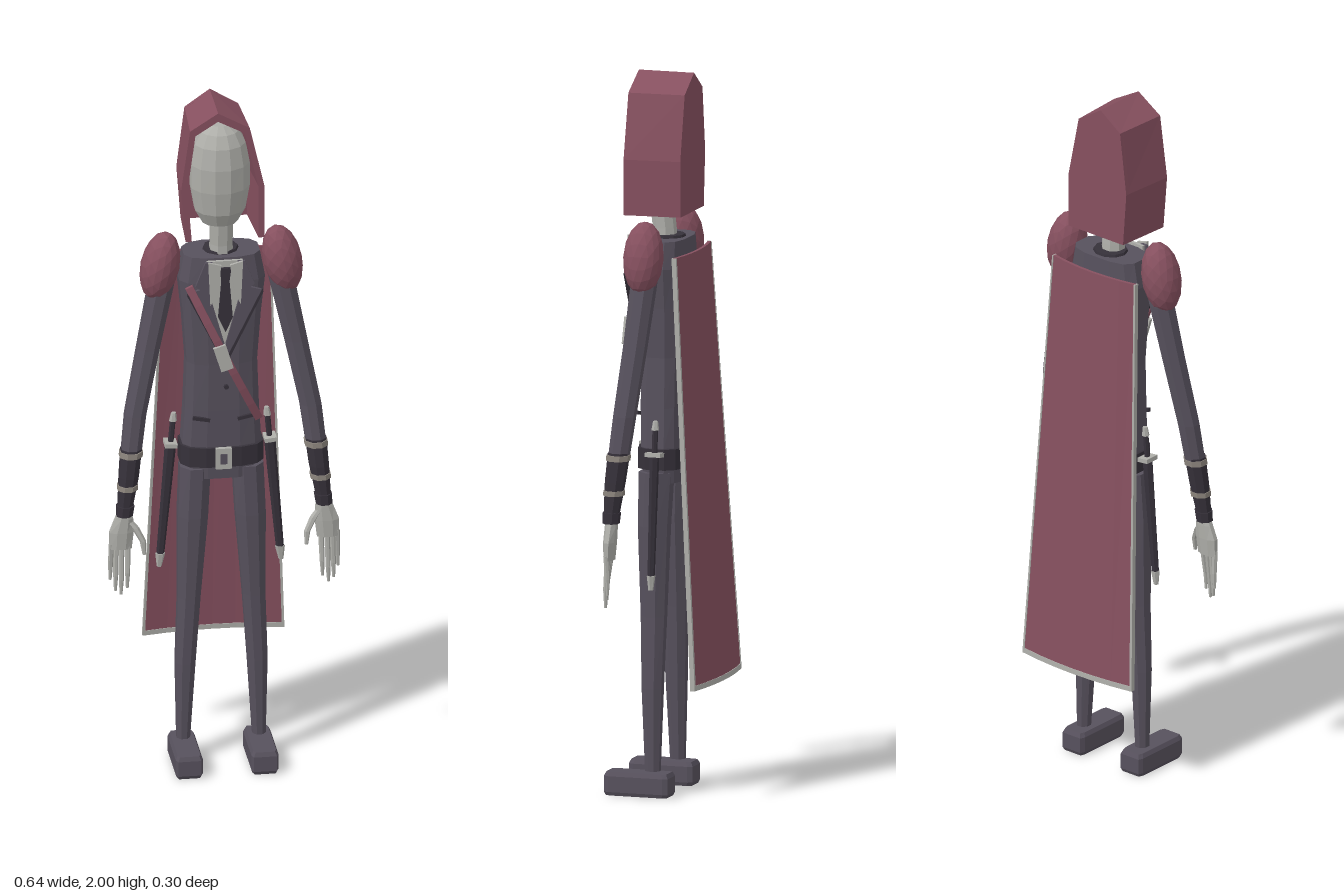
import * as THREE from 'three';

const mat = (name, color, extra = {}) => {
  const m = new THREE.MeshStandardMaterial({ color, flatShading: true, ...extra });
  m.name = name;
  return m;
};

export function createModel() {
  const root = new THREE.Group();
  root.name = 'hoodedFigure';
  const suit = mat('suit', 0x57515d);
  const dark = mat('darkCloth', 0x36313a);
  const wine = mat('wineCloth', 0x86505f);
  const pale = mat('paleGrey', 0xaeaea9);
  const band = mat('cuffBand', 0x8c857d);

  const add = (name, geo, material, parent = root) => {
    const m = new THREE.Mesh(geo, material);
    m.name = name;
    parent.add(m);
    return m;
  };

  // Closed loft through rings [x, y, z, rx, rz], listed from low to high
  const loft = (rings, sides = 8, square = 1) => {
    const pos = [], idx = [];
    const bend = v => Math.sign(v) * Math.pow(Math.abs(v), square);
    for (const [x, y, z, rx, rz = rx] of rings)
      for (let j = 0; j < sides; j++) {
        const a = ((j + 0.5) / sides) * Math.PI * 2;
        pos.push(x + rx * bend(Math.sin(a)), y, z + rz * bend(Math.cos(a)));
      }
    for (let i = 0; i < rings.length - 1; i++)
      for (let j = 0; j < sides; j++) {
        const k = (j + 1) % sides, a = i * sides + j, b = i * sides + k;
        idx.push(a, b, b + sides, a, b + sides, a + sides);
      }
    const top = (rings.length - 1) * sides;
    for (let j = 1; j < sides - 1; j++) {
      idx.push(0, j + 1, j);
      idx.push(top, top + j, top + j + 1);
    }
    const g = new THREE.BufferGeometry();
    g.setAttribute('position', new THREE.Float32BufferAttribute(pos, 3));
    g.setIndex(idx);
    g.computeVertexNormals();
    return g;
  };

  const box = (name, w, h, d, x, y, z, material, rz = 0, parent = root) => {
    const m = add(name, new THREE.BoxGeometry(w, h, d), material, parent);
    m.position.set(x, y, z);
    m.rotation.z = rz;
    return m;
  };

  const plate = (pts, depth, z) => {
    const s = new THREE.Shape(pts.map(p => new THREE.Vector2(p[0], p[1])));
    return new THREE.ExtrudeGeometry(s, { depth, bevelEnabled: false }).translate(0, 0, z);
  };

  // Hood: open-bottomed shell, slightly narrower at the back, with a back panel
  const outer = [[-0.11, 1.615], [-0.123, 1.77], [-0.098, 1.95], [-0.02, 2], [0.068, 1.95], [0.109, 1.77], [0.109, 1.615]];
  const inner = [[0.092, 1.615], [0.092, 1.77], [0.054, 1.935], [-0.02, 1.975], [-0.083, 1.935], [-0.105, 1.77], [-0.093, 1.615]];
  const taper = g => {
    const p = g.attributes.position;
    for (let i = 0; i < p.count; i++) {
      const k = 0.9 + 0.1 * (p.getZ(i) + 0.06) / 0.16;
      p.setX(i, -0.02 + (p.getX(i) + 0.02) * k);
    }
    g.computeVertexNormals();
    return g;
  };
  add('hoodShell', taper(plate([...outer, ...inner], 0.16, -0.06)), wine);
  add('hoodBack', taper(plate(outer, 0.012, -0.0605)), wine);

  // Head and neck
  add('head', loft([
    [-0.008, 1.65, 0.045, 0.05, 0.045], [-0.008, 1.69, 0.045, 0.072, 0.064], [-0.008, 1.76, 0.045, 0.084, 0.073],
    [-0.008, 1.83, 0.045, 0.084, 0.074], [-0.008, 1.89, 0.045, 0.073, 0.064], [-0.008, 1.925, 0.045, 0.054, 0.046],
    [-0.008, 1.945, 0.045, 0.028, 0.025],
  ], 12), pale);
  add('neck', loft([[0, 1.5, 0.015, 0.036], [0, 1.57, 0.018, 0.033], [0, 1.68, 0.03, 0.033]], 8), pale);

  // Jacket
  add('torso', loft([
    [0, 0.87, 0.008, 0.1, 0.055], [0, 0.97, 0.008, 0.112, 0.06], [0, 1.08, 0.01, 0.105, 0.061], [0, 1.22, 0.01, 0.1, 0.062],
    [0, 1.36, 0.01, 0.11, 0.067], [0, 1.47, 0.01, 0.122, 0.067], [0, 1.545, 0.008, 0.108, 0.062],
  ], 12, 0.65), suit);
  add('collarBand', loft([[0, 1.53, 0.005, 0.055, 0.05], [0, 1.552, 0.005, 0.048, 0.044]], 10), dark);
  add('shirt', plate([[-0.05, 1.545], [-0.045, 1.43], [0, 1.27], [0.045, 1.43], [0.05, 1.545]], 0.009, 0.082), pale);
  add('tie', plate([[-0.016, 1.53], [-0.011, 1.49], [-0.02, 1.38], [0, 1.335], [0.02, 1.38], [0.011, 1.49], [0.016, 1.53]], 0.008, 0.098), dark);
  for (const s of [1, -1]) {
    const flip = pts => pts.map(([x, y]) => [x * s, y]);
    add('lapel', plate(flip([[0.035, 1.545], [0.055, 1.545], [0.082, 1.475], [0.07, 1.465], [0.102, 1.455], [0.005, 1.255], [0.0, 1.29], [0.038, 1.43]]), 0.009, 0.09), suit);
    add('lapelEdge', plate(flip([[0.102, 1.457], [0.106, 1.45], [0.01, 1.25], [0.004, 1.255]]), 0.009, 0.092), dark);
    add('shirtCollar', plate(flip([[0.012, 1.54], [0.048, 1.55], [0.042, 1.42], [0.026, 1.45]]), 0.008, 0.102), pale);
    box('pocketFlap', 0.048, 0.01, 0.008, s * 0.062, 1.058, 0.07, dark, s * 0.2);
  }
  for (const y of [1.155, 1.22]) {
    const b = add('button', new THREE.CylinderGeometry(0.007, 0.007, 0.008, 8), dark);
    b.rotation.x = Math.PI / 2;
    b.position.set(0.006, y, 0.077);
  }

  // Belt and buckle
  add('belt', loft([[0, 0.91, 0.008, 0.118, 0.068], [0, 0.968, 0.008, 0.118, 0.068]], 12, 0.65), dark);
  box('beltBuckle', 0.044, 0.062, 0.012, -0.002, 0.94, 0.08, pale);
  box('buckleCentre', 0.02, 0.03, 0.006, -0.002, 0.94, 0.086, suit);

  // Chest strap, bowed forward, with its buckle
  const strap = new THREE.BoxGeometry(0.022, 0.455, 0.01, 1, 8, 1);
  const sp = strap.attributes.position;
  for (let i = 0; i < sp.count; i++) sp.setZ(i, sp.getZ(i) + 0.125 - 0.032 * (sp.getY(i) / 0.23) ** 2);
  strap.rotateZ(0.44).translate(-0.003, 1.268, 0);
  strap.computeVertexNormals();
  add('chestStrap', strap, wine);
  box('strapBuckle', 0.036, 0.075, 0.01, -0.01, 1.27, 0.132, pale, 0.3);

  // Cape: curved slab that widens and swings back towards the hem
  const capeSlab = (u0, u1, t0, t1, thick, n) => {
    const g = new THREE.BoxGeometry(1, 1, thick, n, 1, 1), p = g.attributes.position;
    for (let i = 0; i < p.count; i++) {
      const u = u0 + (u1 - u0) * (p.getX(i) + 0.5), t = t0 + (t1 - t0) * (p.getY(i) + 0.5);
      p.setXYZ(i, u * (0.197 - 0.047 * t), 0.315 + 1.195 * t, -0.148 + 0.071 * t + 0.017 * u * u + p.getZ(i));
    }
    g.computeVertexNormals();
    return g;
  };
  add('cape', capeSlab(-0.975, 0.975, 0.008, 1, 0.009, 6), wine);
  add('capeHem', capeSlab(-1, 1, 0, 0.012, 0.013, 6), pale);
  for (const s of [1, -1]) add('capeSideTrim', capeSlab(s > 0 ? 0.965 : -1, s > 0 ? 1 : -0.965, 0, 1, 0.013, 1), pale);

  // Paired parts
  for (const s of [1, -1]) {
    const side = new THREE.Group();
    side.name = s > 0 ? 'leftSide' : 'rightSide';
    root.add(side);
    const limb = (name, rings, material, sides = 8) =>
      add(name, loft(rings.map(([x, ...r]) => [x * s, ...r]), sides), material, side);

    // Shoulder pad
    const pad = add('shoulderPad', new THREE.IcosahedronGeometry(1, 2), wine, side);
    pad.scale.set(0.054, 0.102, 0.056);
    pad.position.set(s * 0.17, 1.51, 0.021);
    pad.rotation.z = s * 0.2;

    // Arm, cuffs and bands
    limb('forearm', [[0.275, 0.81, 0.077, 0.022], [0.264, 0.9, 0.07, 0.029], [0.256, 0.98, 0.062, 0.031]], dark);
    limb('upperArm', [[0.256, 0.97, 0.062, 0.03], [0.243, 1.08, 0.05, 0.032], [0.205, 1.27, 0.032, 0.034], [0.172, 1.43, 0.02, 0.037], [0.155, 1.5, 0.016, 0.035]], suit);
    limb('elbowBand', [[0.2575, 0.958, 0.064, 0.034], [0.256, 0.974, 0.063, 0.034]], band);
    limb('wristBand', [[0.268, 0.862, 0.073, 0.03], [0.267, 0.876, 0.072, 0.03]], band);
    limb('cuff', [[0.277, 0.785, 0.078, 0.024], [0.274, 0.815, 0.077, 0.026]], dark);

    // Hand
    limb('palm', [[0.288, 0.685, 0.079, 0.033, 0.014], [0.285, 0.735, 0.078, 0.036, 0.017], [0.278, 0.775, 0.077, 0.027, 0.017], [0.276, 0.8, 0.077, 0.018, 0.016]], pale);
    [[0.313, 0.59, 0.075], [0.3, 0.56, 0.085], [0.285, 0.55, 0.09], [0.268, 0.57, 0.092]].forEach(([x, y, z]) =>
      limb('finger', [[x + 0.003, y, z, 0.004], [x + 0.002, y + 0.045, z, 0.007], [x, 0.7, 0.08, 0.008]], pale, 6));
    limb('thumb', [[0.225, 0.672, 0.1, 0.005], [0.228, 0.71, 0.095, 0.009], [0.248, 0.748, 0.085, 0.011], [0.262, 0.765, 0.08, 0.01]], pale, 6);

    // Leg and shoe
    limb('leg', [[0.105, 0.07, 0.016, 0.02, 0.022], [0.1, 0.3, 0.018, 0.03, 0.031], [0.09, 0.5, 0.018, 0.034, 0.037], [0.08, 0.75, 0.02, 0.045, 0.046], [0.073, 0.9, 0.016, 0.046, 0.05]], suit);
    add('shoe', loft([[0, 0, 0.055, 0.034, 0.089], [0, 0.01, 0.055, 0.038, 0.094], [0, 0.054, 0.055, 0.038, 0.094], [0, 0.066, 0.055, 0.032, 0.088]], 8, 0.18)
      .translate(s * 0.105, 0, 0), suit, side);

    // Sheathed dagger
    limb('sheath', [[0.167, 0.61, 0.0, 0.011, 0.01], [0.138, 0.95, 0.0, 0.016, 0.013]], dark, 6);
    limb('sheathTip', [[0.169, 0.585, 0.0, 0.007], [0.166, 0.625, 0.0, 0.014, 0.012]], pale, 6);
    limb('daggerGrip', [[0.138, 0.95, 0.0, 0.008], [0.131, 1.03, 0.0, 0.008]], dark, 6);
    limb('daggerPommel', [[0.131, 1.025, 0.0, 0.011], [0.129, 1.05, 0.0, 0.007]], pale, 6);
    box('daggerGuard', 0.034, 0.012, 0.045, s * 0.138, 0.957, 0, pale, s * 0.1, side);
  }
  return root;
}
